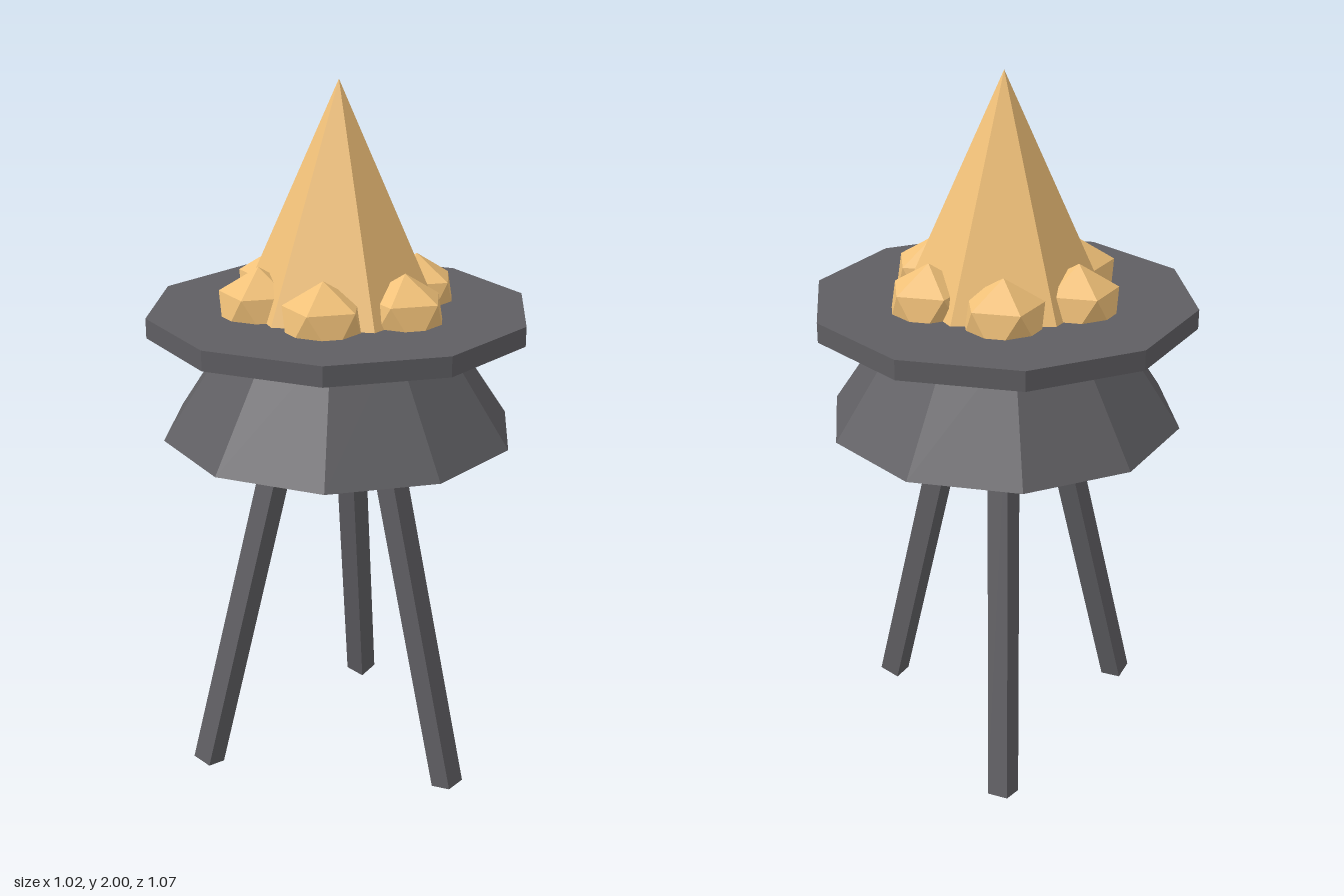
import * as THREE from 'three';

export function createModel() {
  const model = new THREE.Group();
  const dark = new THREE.MeshStandardMaterial({ color: 0x5f5e62, flatShading: true });
  const gold = new THREE.MeshStandardMaterial({ color: 0xf0c078, flatShading: true });

  const add = (name, geometry, material, parent = model) => {
    const mesh = new THREE.Mesh(geometry, material);
    mesh.name = name;
    parent.add(mesh);
    return mesh;
  };

  // Tapered cylinder standing between two heights
  const frustum = (name, rTop, rBottom, y0, y1, sides, material) => {
    add(name, new THREE.CylinderGeometry(rTop, rBottom, y1 - y0, sides), material).position.y = (y0 + y1) / 2;
  };

  frustum('base', 0.28, 0.5, 1.03, 1.36, 10, dark);
  frustum('disc', 0.535, 0.535, 1.33, 1.385, 10, dark);
  frustum('spire', 0, 0.288, 1.36, 2, 6, gold);

  // Ring of six faceted nuggets, each standing on a corner
  const nuggets = new THREE.Group();
  nuggets.name = 'nuggets';
  model.add(nuggets);
  const nuggetGeometry = new THREE.IcosahedronGeometry(0.122, 0);
  nuggetGeometry.rotateZ(-Math.atan(2 / (1 + Math.sqrt(5))));
  for (let i = 0; i < 6; i++) {
    const a = (i * Math.PI) / 3;
    add('nugget', nuggetGeometry, gold, nuggets).position.set(0.23 * Math.cos(a), 1.393, 0.23 * Math.sin(a));
  }

  // Three splayed square legs, one of them toward +x
  const legs = new THREE.Group();
  legs.name = 'legs';
  model.add(legs);
  const up = new THREE.Vector3(0, 1, 0);
  for (let i = 0; i < 3; i++) {
    const a = (i * Math.PI * 2) / 3;
    const at = (r, y) => new THREE.Vector3(r * Math.cos(a), y, r * Math.sin(a));
    const foot = at(0.415, 0.012);
    const top = at(0.125, 1.19);
    const leg = add('leg', new THREE.BoxGeometry(0.064, foot.distanceTo(top), 0.064), dark, legs);
    leg.position.copy(foot).add(top).multiplyScalar(0.5);
    leg.quaternion.setFromUnitVectors(up, top.sub(foot).normalize());
  }

  return model;
}
